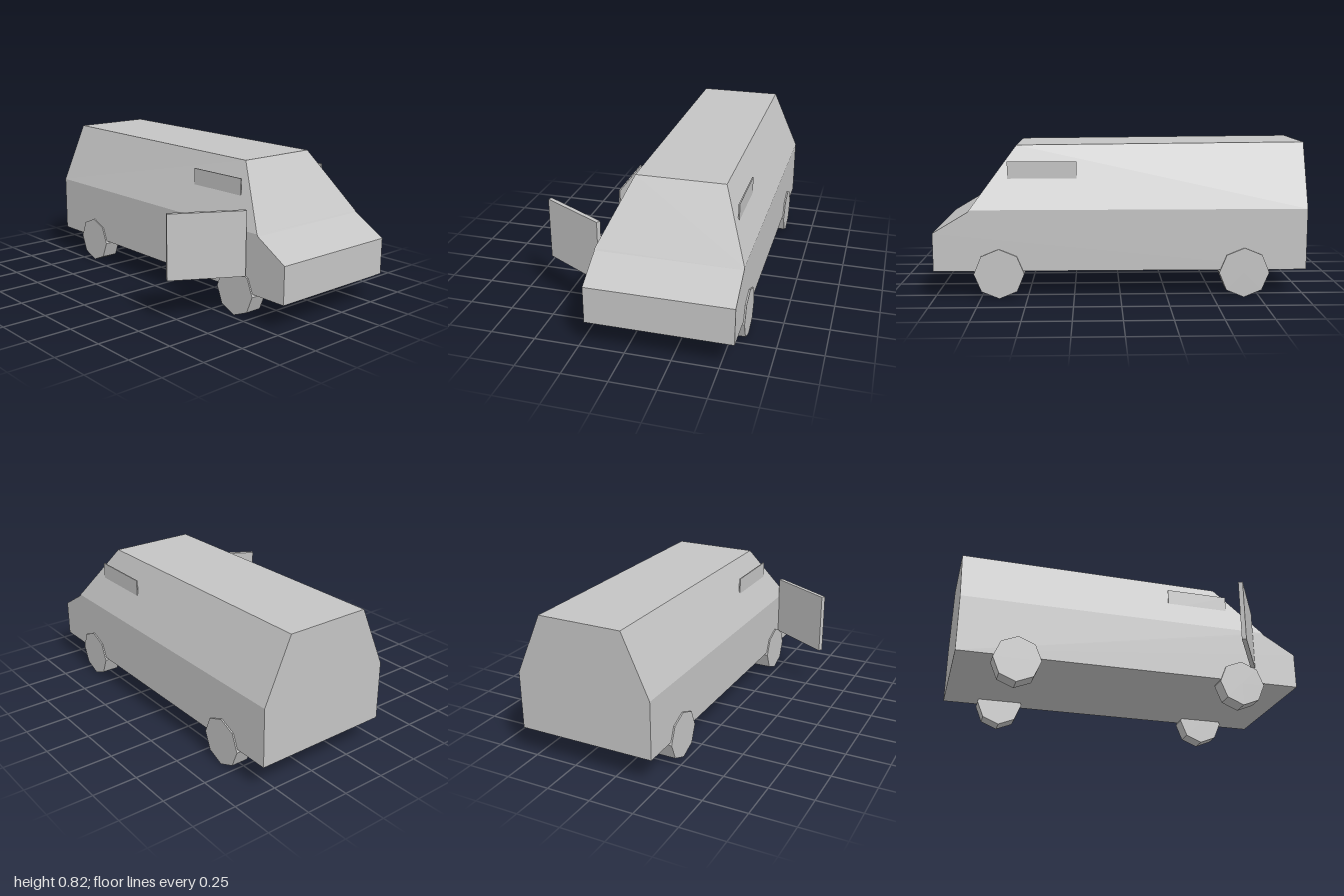
import * as THREE from 'three';

const CENTRE_X = 0.18; // the van sits off-centre to leave room for the open door

// Van shell: one side outline [z, y, halfWidth], mirrored and joined across
function shellGeometry() {
  const outline = [
    [-1, 0.15, 0.395],     // 0 rear bottom
    [-1, 0.48, 0.395],     // 1 rear belt line
    [-1, 0.825, 0.24],     // 2 rear roof
    [0.56, 0.812, 0.245],  // 3 front roof
    [0.803, 0.48, 0.395],  // 4 front belt line
    [0.81, 0.47, 0.395],   // 5 windscreen base
    [1, 0.357, 0.395],     // 6 bonnet lip
    [1, 0.15, 0.395],      // 7 front bottom
  ];
  const positions = [];
  const point = (i, side) => [side * outline[i][2], outline[i][1], outline[i][0]];
  const fan = (corners) => {
    for (let i = 1; i < corners.length - 1; i++) {
      positions.push(...corners[0], ...corners[i], ...corners[i + 1]);
    }
  };

  // Lower wall and sloped upper wall on each side
  for (const wall of [[0, 1, 4, 5, 6, 7], [1, 2, 3, 4]]) {
    fan(wall.map((i) => point(i, 1)));
    // Mirrored wall keeps the same fan centre, with the order reversed
    fan([wall[0], ...wall.slice(1).reverse()].map((i) => point(i, -1)));
  }
  // Strips across the width: rear, roof, windscreen, bonnet, nose and floor
  for (let i = 0; i < outline.length; i++) {
    const j = (i + 1) % outline.length;
    fan([point(j, 1), point(i, 1), point(i, -1), point(j, -1)]);
  }
  const geometry = new THREE.BufferGeometry();
  geometry.setAttribute('position', new THREE.Float32BufferAttribute(positions, 3));
  geometry.computeVertexNormals();
  return geometry;
}

export function createModel() {
  const model = new THREE.Group();
  model.name = 'van';
  const grey = new THREE.MeshStandardMaterial({ color: 0xc4c4c4, flatShading: true });
  grey.name = 'light grey';

  const add = (name, geometry, x, y, z) => {
    const mesh = new THREE.Mesh(geometry, grey);
    mesh.name = name;
    mesh.position.set(x, y, z);
    model.add(mesh);
    return mesh;
  };

  add('body', shellGeometry(), CENTRE_X, 0, 0);

  // Eight-sided wheels with a corner pointing down
  const wheel = new THREE.CylinderGeometry(0.135, 0.135, 0.098, 8).rotateZ(Math.PI / 2);
  const sidePanel = new THREE.BoxGeometry(0.007, 0.13, 0.37);
  for (const [side, label] of [[1, 'left'], [-1, 'right']]) {
    add(label + 'FrontWheel', wheel, CENTRE_X + side * 0.354, 0.135, 0.65);
    add(label + 'RearWheel', wheel, CENTRE_X + side * 0.354, 0.135, -0.665);
    // Upright window panel standing out of the sloped wall
    add(label + 'WindowPanel', sidePanel, CENTRE_X + side * 0.32, 0.665, 0.42);
  }

  // Door swung open on the right side
  const door = add('openDoor', new THREE.BoxGeometry(0.416, 0.355, 0.025), -0.3985, 0.4175, 0.621);
  door.rotation.y = -Math.PI / 6;

  return model;
}
